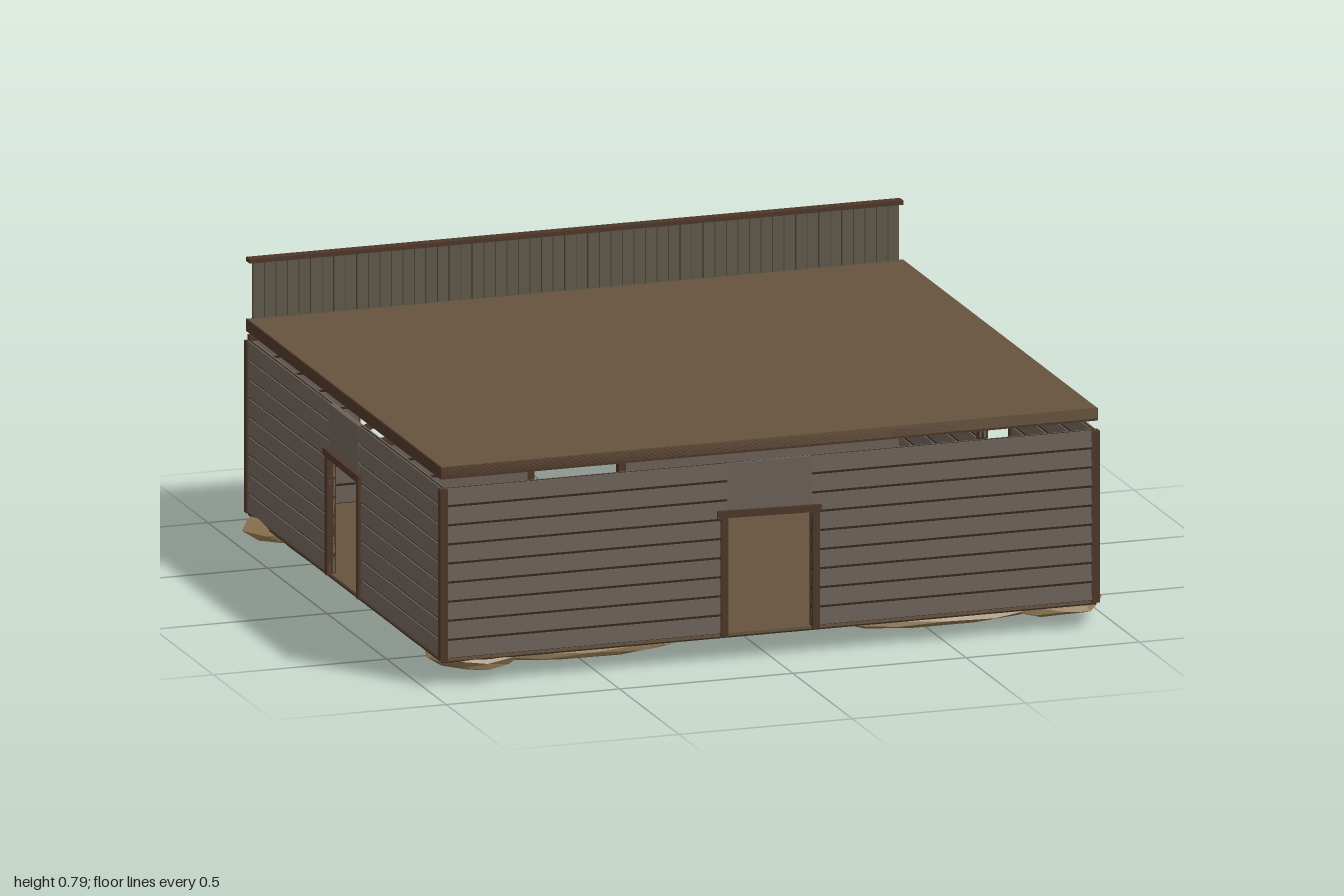
import * as THREE from 'three';

const mat = (color, flat = false) => new THREE.MeshStandardMaterial({ color, flatShading: flat });
const siding = mat(0x6a5f57), gap = mat(0x30261f), trim = mat(0x4d3628), roofing = mat(0x66523d);
const panelling = mat(0x5f5949), board = mat(0x9c8c64), stone = mat(0x8c7350, true), under = mat(0x33281f);
const BASE = 0.072, TOP = 0.558, ROWS = 9;

function box(parent, name, m, w, h, d, x, y, z, rz = 0) {
  const b = new THREE.Mesh(new THREE.BoxGeometry(w, h, d), m);
  b.name = name;
  b.position.set(x, y, z);
  b.rotation.z = rz;
  parent.add(b);
  return b;
}

// Wall along local x, outer face at z = 0; openings are [x0, x1, y0, y1]
function makeWall(name, length, windows) {
  const wall = new THREE.Group();
  wall.name = name;
  const half = length / 2;
  const door = [-0.122, 0.122, BASE, 0.405];
  const openings = [door, ...windows.map(w => [w.x - 0.088, w.x + 0.088, 0.245, 0.36])];

  // Dark core with openings, seen in the gaps between boards
  const shape = new THREE.Shape([[-half, BASE], [half, BASE], [half, TOP], [-half, TOP]].map(p => new THREE.Vector2(...p)));
  for (const [a, b, c, d] of openings) {
    const low = c === BASE ? c + 0.002 : c;
    shape.holes.push(new THREE.Path([[a, low], [a, d], [b, d], [b, low]].map(p => new THREE.Vector2(...p))));
  }
  const core = new THREE.Mesh(new THREE.ExtrudeGeometry(shape, { depth: 0.006, bevelEnabled: false }), gap);
  core.name = 'wallCore';
  core.position.z = -0.013;
  wall.add(core);

  // Horizontal boards on both faces, cut around the openings
  const pitch = (TOP - BASE) / ROWS;
  for (let i = 0; i < ROWS; i++) {
    const y0 = BASE + i * pitch, y1 = y0 + pitch;
    let spans = [[-half, half]];
    for (const [a, b, c, d] of [...openings, [-0.122, 0.122, 0.405, TOP]]) {
      if (y1 <= c + 0.01 || y0 >= d - 0.01) continue;
      spans = spans.flatMap(([s, e]) => (a > s && b < e ? [[s, a], [b, e]] : [[s, e]]));
    }
    for (const [s, e] of spans) {
      const outer = box(wall, 'sidingBoard', siding, e - s, pitch - 0.008, 0.006, (s + e) / 2, (y0 + y1) / 2 + 0.004, -0.004);
      outer.rotation.x = -0.06;
      box(wall, 'innerBoard', siding, e - s, pitch - 0.008, 0.005, (s + e) / 2, (y0 + y1) / 2 + 0.004, -0.015);
    }
  }

  // Plain panel over the door and the door frame
  box(wall, 'overDoorPanel', siding, 0.244, TOP - 0.405, 0.017, 0, (TOP + 0.405) / 2, -0.009);
  for (const s of [-1, 1]) box(wall, 'doorPost', trim, 0.02, 0.34, 0.026, s * 0.132, BASE + 0.17, -0.007);
  box(wall, 'doorHeader', trim, 0.3, 0.02, 0.028, -0.003, 0.414, -0.006, -0.02);

  // Window frames with loose boards nailed across
  for (const { x, tilt } of windows) {
    for (const s of [-1, 1]) {
      box(wall, 'windowJamb', trim, 0.018, 0.15, 0.024, x + s * 0.092, 0.302, -0.005);
      box(wall, 'windowRail', trim, 0.216, 0.018, 0.026, x, 0.302 + s * 0.064, -0.005, s * 0.015);
    }
    box(wall, 'windowBoard', trim, 0.2, 0.02, 0.006, x, 0.305, 0.004, tilt);
    box(wall, 'windowBoard', trim, 0.19, 0.014, 0.006, x, 0.335, 0.0, tilt * 0.2);
  }
  return wall;
}

// Faceted stone stretched to the given half sizes
function makeStone(name, x, y, z, rx, ry, rz, seed, detail = 1) {
  const g = new THREE.IcosahedronGeometry(1, detail), p = g.attributes.position, v = new THREE.Vector3();
  for (let i = 0; i < p.count; i++) {
    v.fromBufferAttribute(p, i);
    const k = 0.95 + 0.09 * Math.sin(v.x * 5.1 + seed * 2.3) * Math.cos(v.z * 4.3 + v.y * 3 + seed);
    p.setXYZ(i, v.x * k * rx, v.y * k * ry, v.z * k * rz);
  }
  g.computeVertexNormals();
  const m = new THREE.Mesh(g, stone);
  m.name = name;
  m.position.set(x, y, z);
  return m;
}

export function createModel() {
  const model = new THREE.Group();
  model.name = 'woodenStore';
  const X = 0.948, Z = 0.822, CX = -0.005;

  // Four walls, each with a doorway; the back one has two windows
  const place = (wall, x, z, ry) => {
    wall.position.set(x, 0, z);
    wall.rotation.y = ry;
    model.add(wall);
  };
  place(makeWall('frontWall', X * 2 - 0.02, []), CX, Z, 0);
  place(makeWall('backWall', X * 2 - 0.02, [{ x: -0.56, tilt: 0.05 }, { x: 0.54, tilt: -0.42 }]), CX, -Z + 0.004, Math.PI);
  place(makeWall('rightWall', Z * 2 - 0.02, []), CX - X, 0, -Math.PI / 2);
  place(makeWall('leftWall', Z * 2 - 0.02, []), CX + X, 0, Math.PI / 2);
  for (const sx of [-1, 1]) for (const sz of [-1, 1])
    box(model, 'cornerPost', trim, 0.022, TOP - BASE, 0.022, CX + sx * (X - 0.008), (TOP + BASE) / 2, sz * (Z - 0.008));

  // Floor and flat roof
  box(model, 'floor', roofing, X * 2 - 0.01, 0.008, Z * 2 - 0.01, CX, 0.073, 0);
  box(model, 'floorUnderside', under, X * 2 - 0.01, 0.004, Z * 2 - 0.01, CX, 0.067, 0);
  box(model, 'roof', roofing, 1.892, 0.03, 1.63, CX, 0.606, 0.004);
  box(model, 'roofUnderside', trim, 1.88, 0.01, 1.61, CX, 0.587, 0.002);
  for (const s of [-1, 1]) {
    box(model, 'roofEdge', trim, 1.896, 0.034, 0.008, CX, 0.602, s * 0.815);
    box(model, 'roofEdge', trim, 0.008, 0.034, 1.63, CX + s * 0.944, 0.602, 0.002);
  }

  // Boarded parapet above the back wall
  const parapet = new THREE.Group();
  parapet.name = 'parapet';
  box(parapet, 'parapetCore', gap, 1.86, 0.21, 0.006, CX, 0.675, -0.814);
  for (const [n, z] of [[15, -0.82], [56, -0.808]]) {
    const w = 1.866 / n;
    for (let i = 0; i < n; i++)
      box(parapet, 'parapetBoard', panelling, w - (n > 20 ? 0.003 : 0.008), 0.212, 0.008, CX - 0.933 + (i + 0.5) * w, 0.675, z + 0.0015 * (i % 2));
  }
  box(parapet, 'parapetCap', trim, 1.886, 0.012, 0.03, CX, 0.785, -0.815);
  box(parapet, 'parapetFoot', trim, 1.88, 0.014, 0.02, CX, 0.566, -0.817);
  box(parapet, 'signBoard', board, 0.33, 0.098, 0.008, CX, 0.668, -0.829);
  model.add(parapet);

  // Footing stones: one at each corner, long ones under the edges
  const corners = [
    [-0.845, -0.7, 0.155, 0.155, 0.02], [0.845, 0.69, 0.155, 0.14, 0.02],
    [-0.82, 0.705, 0.14, 0.14, 0.02], [0.82, -0.7, 0.14, 0.15, 0.0],
  ];
  corners.forEach(([x, z, rx, rz, low], i) => {
    const ry = (0.088 - low) / 2;
    model.add(makeStone('cornerStone', x, low + ry, z, rx, ry, rz, i));
    const sx = Math.sign(x), sz = Math.sign(z);
    model.add(makeStone('edgeStone', sx * 0.51, 0.055, sz * 0.755, 0.29, 0.025, 0.062, i + 4));
    model.add(makeStone('edgeStone', sx * 0.875, 0.055, sz * 0.46, 0.062, 0.025, 0.27, i + 8));
  });
  return model;
}
